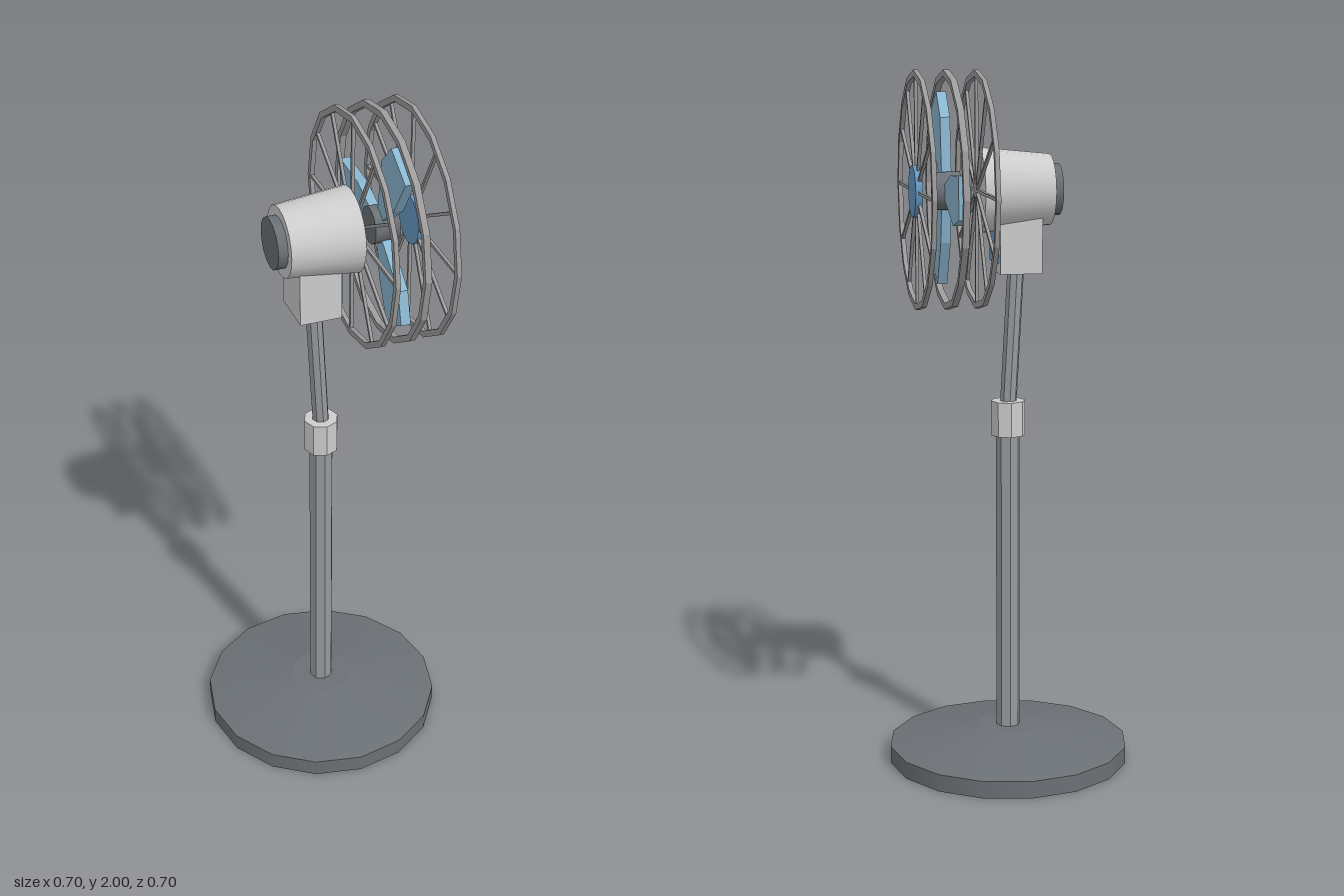
import * as THREE from 'three';

const mat = (name, color, flat = false) =>
  new THREE.MeshStandardMaterial({ name, color, flatShading: flat });

export function createModel() {
  const model = new THREE.Group();
  model.name = 'pedestalFan';
  const dark = mat('dark grey', 0x6b7075);
  const steel = mat('steel grey', 0x96999e, true);
  const wire = mat('guard grey', 0x9c9a9b, true);
  const pale = mat('pale grey', 0xcccccc);
  const blue = mat('blue', 0x6699c4);
  const lightBlue = mat('light blue', 0x8ab6d0);
  const AXIS_Y = 1.67; // height of the fan axis

  const add = (name, geometry, material, parent = model) => {
    const mesh = new THREE.Mesh(geometry, material);
    mesh.name = name;
    parent.add(mesh);
    return mesh;
  };
  // Upright round part between two heights
  const upright = (name, y0, y1, rBottom, rTop, sides, material) =>
    add(name, new THREE.CylinderGeometry(rTop, rBottom, y1 - y0, sides).translate(0, (y0 + y1) / 2, 0), material);
  // Round part lying along x, relative to the fan axis
  const along = (name, x0, x1, r0, r1, sides, material, parent) =>
    add(name, new THREE.CylinderGeometry(r1, r0, x1 - x0, sides)
      .rotateZ(-Math.PI / 2).translate((x0 + x1) / 2, 0, 0), material, parent);
  // Flat outline extruded along x; outline x runs towards -z
  const slab = (shape, x0, x1) =>
    new THREE.ExtrudeGeometry(shape, { depth: x1 - x0, bevelEnabled: false })
      .rotateY(Math.PI / 2).translate(x0, 0, 0);
  const polygon = (r, n) => Array.from({ length: n }, (_, i) => {
    const a = (i / n) * Math.PI * 2;
    return new THREE.Vector2(r * Math.cos(a), r * Math.sin(a));
  });

  // Stand
  upright('baseRim', 0, 0.05, 0.35, 0.35, 16, dark);
  upright('baseSlope', 0.05, 0.1, 0.35, 0.09, 16, dark);
  upright('lowerPole', 0.1, 0.98, 0.035, 0.035, 8, steel);
  const collar = mat('pale grey collar', 0xcccccc, true);
  upright('collar', 0.97, 1.07, 0.05, 0.05, 8, collar);
  const rod = upright('upperPole', 0, 0.42, 0.024, 0.024, 8, steel);
  rod.position.set(0, 1.05, 0);
  rod.rotation.z = 0.055;

  // Neck with its control panel
  add('neckBlock', new THREE.BoxGeometry(0.12, 0.18, 0.14).translate(-0.025, 1.53, 0), pale);
  add('controlPanel', new THREE.BoxGeometry(0.009, 0.1, 0.1).translate(0.0395, 1.52, 0), blue);

  const head = new THREE.Group();
  head.name = 'fanHead';
  head.position.y = AXIS_Y;
  model.add(head);

  // Motor and hub
  along('motorHousing', -0.118, 0.085, 0.1, 0.12, 20, pale, head);
  along('motorCap', -0.145, -0.118, 0.073, 0.073, 16, dark, head);
  along('bladeHub', 0.138, 0.21, 0.053, 0.053, 16, dark, head);

  // Three blades
  const outline = [[0.04, 0.018], [0.14, 0.053], [0.28, 0.06], [0.28, -0.057], [0.187, -0.08], [0.04, -0.018]]
    .map(([u, v]) => new THREE.Vector2(u, v)).reverse();
  const bladeGeo = slab(new THREE.Shape(outline), 0.16, 0.188);
  for (let i = 0; i < 3; i++) {
    add('blade' + (i + 1), bladeGeo, lightBlue, head).rotation.x = (i * Math.PI * 2) / 3;
  }

  // Guard rings
  const ring = (name, x0, x1) => {
    const shape = new THREE.Shape(polygon(0.333, 16));
    shape.holes.push(new THREE.Path(polygon(0.315, 16).reverse()));
    add(name, slab(shape, x0, x1), wire, head);
  };
  ring('rearRing', 0.083, 0.096);
  ring('middleRing', 0.165, 0.183);
  ring('frontRing', 0.253, 0.266);

  // Twelve spokes on the rear and front guards
  const spokeGeo = new THREE.BoxGeometry(0.009, 0.64, 0.009);
  for (const [name, x] of [['rearSpoke', 0.0895], ['frontSpoke', 0.2595]]) {
    for (let i = 0; i < 6; i++) {
      const spoke = add(name + (i + 1), spokeGeo, wire, head);
      spoke.position.x = x;
      spoke.rotation.x = (i * Math.PI) / 6;
    }
  }
  along('frontBadge', 0.252, 0.272, 0.073, 0.073, 16, blue, head);

  return model;
}
